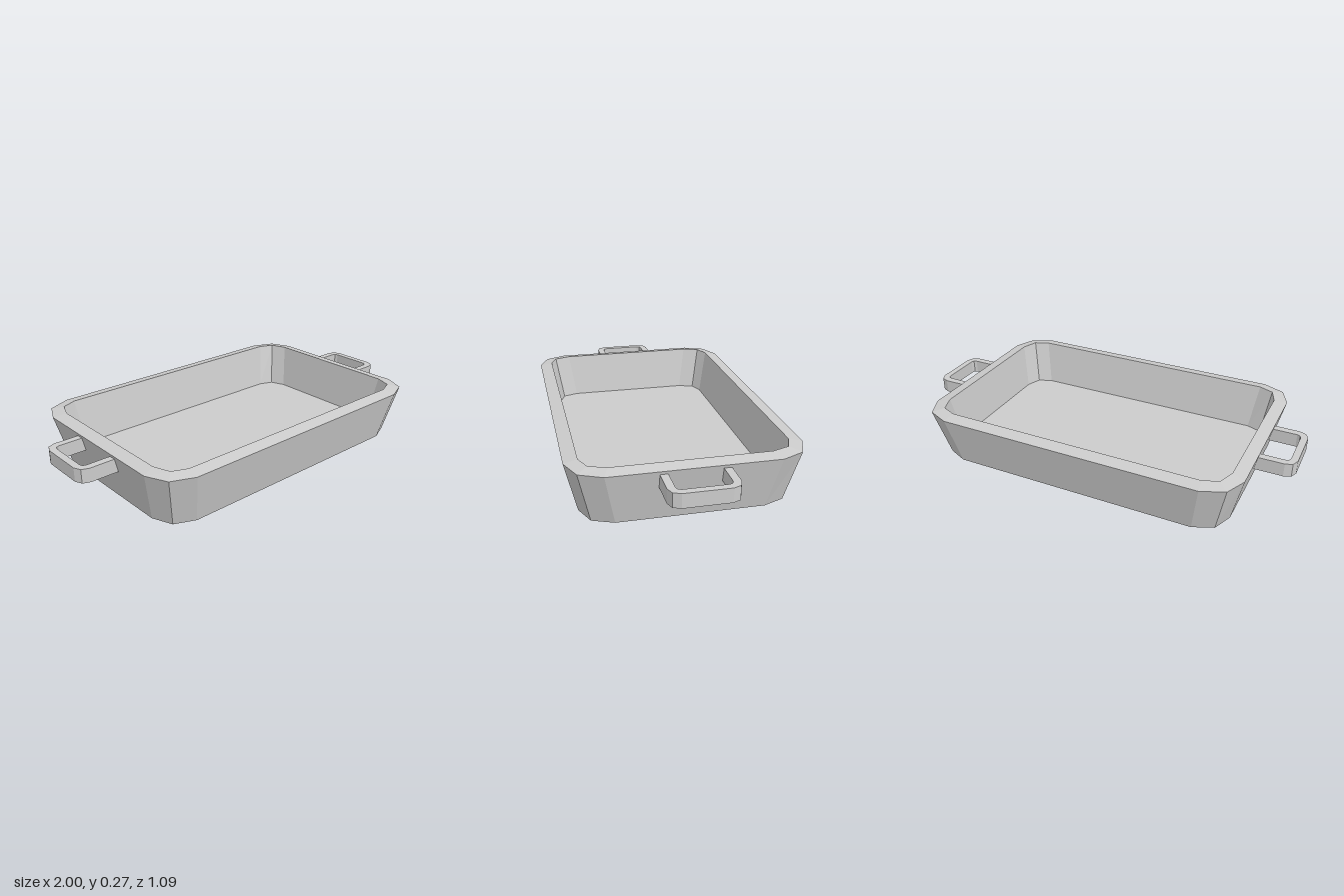
import * as THREE from 'three';

const material = new THREE.MeshStandardMaterial({ color: 0xcccccc, flatShading: true });

// Rectangle ring with two-facet corners: half sizes x/z, with three points per corner.
function ring(y, corner) {
  const points = [];
  for (const [sx, sz] of [[1, 1], [-1, 1], [-1, -1], [1, -1]]) {
    const c = sx * sz > 0 ? corner : [...corner].reverse();
    for (const [x, z] of c) points.push([sx * x, y, sz * z]);
  }
  return points;
}

// Skin consecutive rings and close the first and last with flat caps.
function loft(rings) {
  const n = rings[0].length;
  const pos = [];
  const tri = (a, b, c) => pos.push(...a, ...b, ...c);
  for (let r = 0; r < rings.length - 1; r++) {
    const lo = rings[r], hi = rings[r + 1];
    for (let i = 0; i < n; i++) {
      const j = (i + 1) % n;
      tri(lo[i], hi[i], lo[j]);
      tri(lo[j], hi[i], hi[j]);
    }
  }
  const first = rings[0], last = rings[rings.length - 1];
  for (let i = 0; i < n; i++) {
    const j = (i + 1) % n;
    tri([0, first[0][1], 0], first[i], first[j]);
    tri([0, last[0][1], 0], last[j], last[i]);
  }
  const geometry = new THREE.BufferGeometry();
  geometry.setAttribute('position', new THREE.Float32BufferAttribute(pos, 3));
  geometry.computeVertexNormals();
  return geometry;
}

// U-shaped bar with bevelled corners, lying flat and reaching out from the wall.
function handleGeometry() {
  const outer = [[0.79, 0.157], [0.95, 0.157], [0.985, 0.143], [1.0, 0.108]];
  const inner = [[0.79, 0.121], [0.945, 0.121], [0.96, 0.115], [0.966, 0.1]];
  const mirror = (pts) => pts.map(([x, z]) => [x, -z]).reverse();
  const outline = [...outer, ...mirror(outer), ...[...inner, ...mirror(inner)].reverse()];
  const shape = new THREE.Shape(outline.map(([x, z]) => new THREE.Vector2(x, z)));
  const geometry = new THREE.ExtrudeGeometry(shape, { depth: 0.068, bevelEnabled: false });
  geometry.rotateX(-Math.PI / 2);
  geometry.translate(0, 0.172, 0);
  return geometry;
}

export function createModel() {
  const model = new THREE.Group();
  model.name = 'bakingDish';

  // Dish: base, flared outer wall, sloping rim, inner wall, floor
  const dish = new THREE.Mesh(loft([
    ring(0, [[0.77, 0.34], [0.73, 0.44], [0.63, 0.483]]),
    ring(0.255, [[0.83, 0.39], [0.782, 0.496], [0.67, 0.543]]),
    ring(0.267, [[0.766, 0.365], [0.736, 0.447], [0.662, 0.478]]),
    ring(0.035, [[0.73, 0.33], [0.701, 0.409], [0.628, 0.436]]),
  ]), material);
  dish.name = 'dish';
  model.add(dish);

  // Handles on both short ends
  const geometry = handleGeometry();
  for (const [name, turn] of [['leftHandle', 0], ['rightHandle', Math.PI]]) {
    const handle = new THREE.Mesh(geometry, material);
    handle.name = name;
    handle.rotation.y = turn;
    model.add(handle);
  }
  return model;
}
